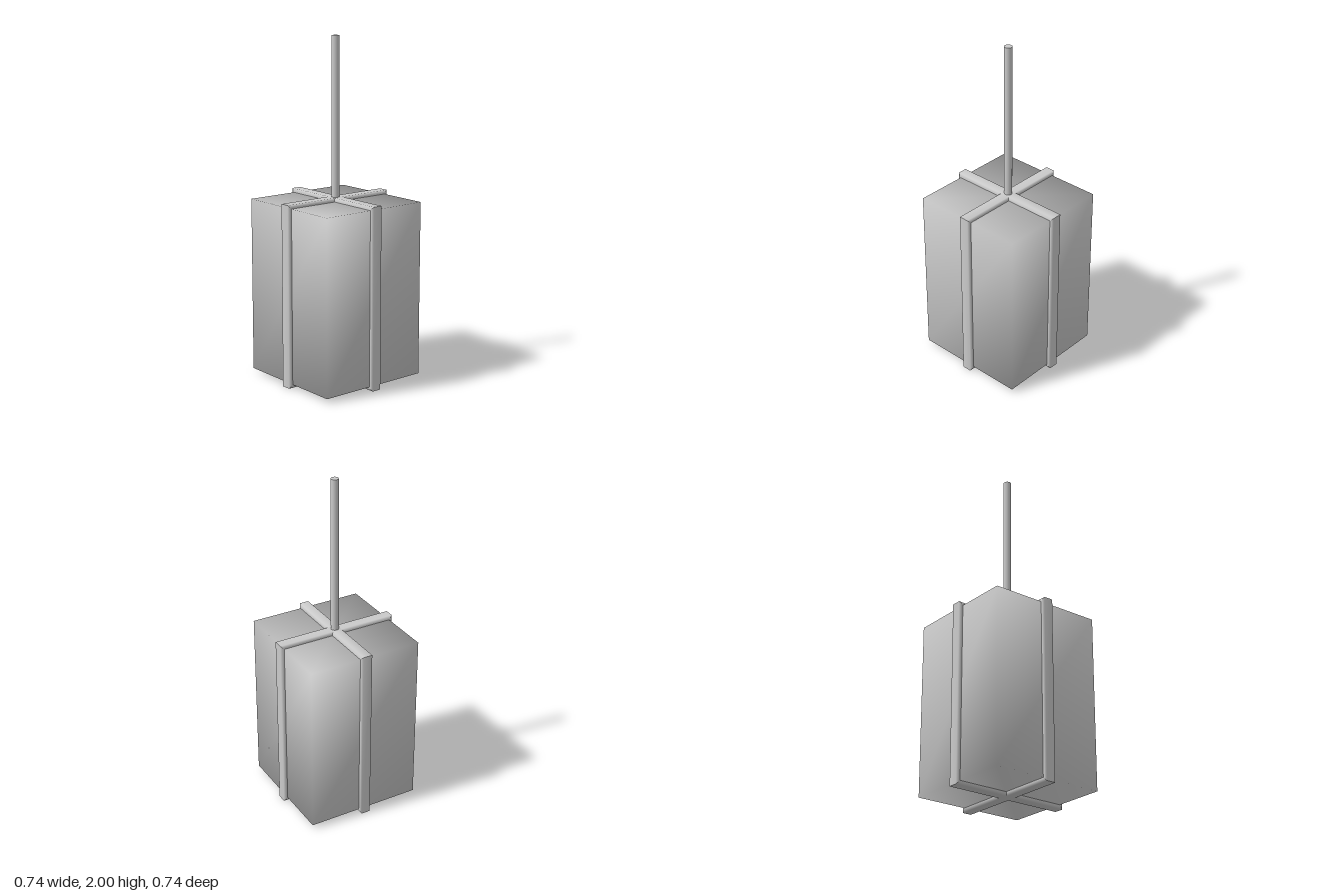
import * as THREE from 'three';
import { mergeVertices } from 'three/addons/utils/BufferGeometryUtils.js';

const HALF = 0.347, Y0 = 0.022, Y1 = 1.052;

// Strap cross-section: [sideways, outward from the body]
const SECTION = [[-0.035, -0.012], [-0.035, 0.008], [-0.028, 0.022], [0.028, 0.022], [0.035, 0.008], [0.035, -0.012]];

// One mitred side of the strap loop, running between two corners of the body
function strapSide(a, b, material) {
  const corner = ([sx, sy], [w, d]) => [sx * (HALF + d), sy > 0 ? Y1 + d : Y0 - d, w];
  const positions = [], index = [];
  for (const p of SECTION) positions.push(...corner(a, p), ...corner(b, p));
  for (let i = 0; i < SECTION.length - 1; i++) {
    const k = i * 2;
    index.push(k, k + 1, k + 3, k, k + 3, k + 2);
  }
  const geometry = new THREE.BufferGeometry();
  geometry.setAttribute('position', new THREE.Float32BufferAttribute(positions, 3));
  geometry.setIndex(index);
  geometry.computeVertexNormals();
  return new THREE.Mesh(geometry, material);
}

function strapLoop(name, material) {
  const loop = new THREE.Group();
  loop.name = name;
  const corners = [[-1, -1], [-1, 1], [1, 1], [1, -1]];
  const names = ['sideBand', 'topBand', 'sideBand', 'bottomBand'];
  corners.forEach((c, i) => {
    const side = strapSide(c, corners[(i + 1) % 4], material);
    side.name = names[i];
    loop.add(side);
  });
  return loop;
}

export function createModel() {
  const model = new THREE.Group();
  model.name = 'strappedBlockOnRod';
  const material = new THREE.MeshStandardMaterial({ color: 0xcccccc });
  const strapMaterial = new THREE.MeshStandardMaterial({ color: 0xcccccc, side: THREE.DoubleSide });

  // Block with softly blended normals shared at its corners
  const box = new THREE.BoxGeometry(HALF * 2, Y1 - Y0, HALF * 2);
  box.deleteAttribute('normal');
  box.deleteAttribute('uv');
  const blockGeometry = mergeVertices(box);
  blockGeometry.computeVertexNormals();
  const block = new THREE.Mesh(blockGeometry, material);
  block.name = 'block';
  block.position.y = (Y0 + Y1) / 2;
  model.add(block);

  // Two straps crossing above and below the block
  const sideStrap = strapLoop('sideStrap', strapMaterial);
  const frontStrap = strapLoop('frontStrap', strapMaterial);
  frontStrap.rotation.y = Math.PI / 2;
  model.add(sideStrap, frontStrap);

  // Upright rod rising from the crossing
  const rodBase = 1.04;
  const rod = new THREE.Mesh(new THREE.CylinderGeometry(0.023, 0.023, 2 - rodBase, 24), material);
  rod.name = 'rod';
  rod.position.y = (2 + rodBase) / 2;
  model.add(rod);

  return model;
}
